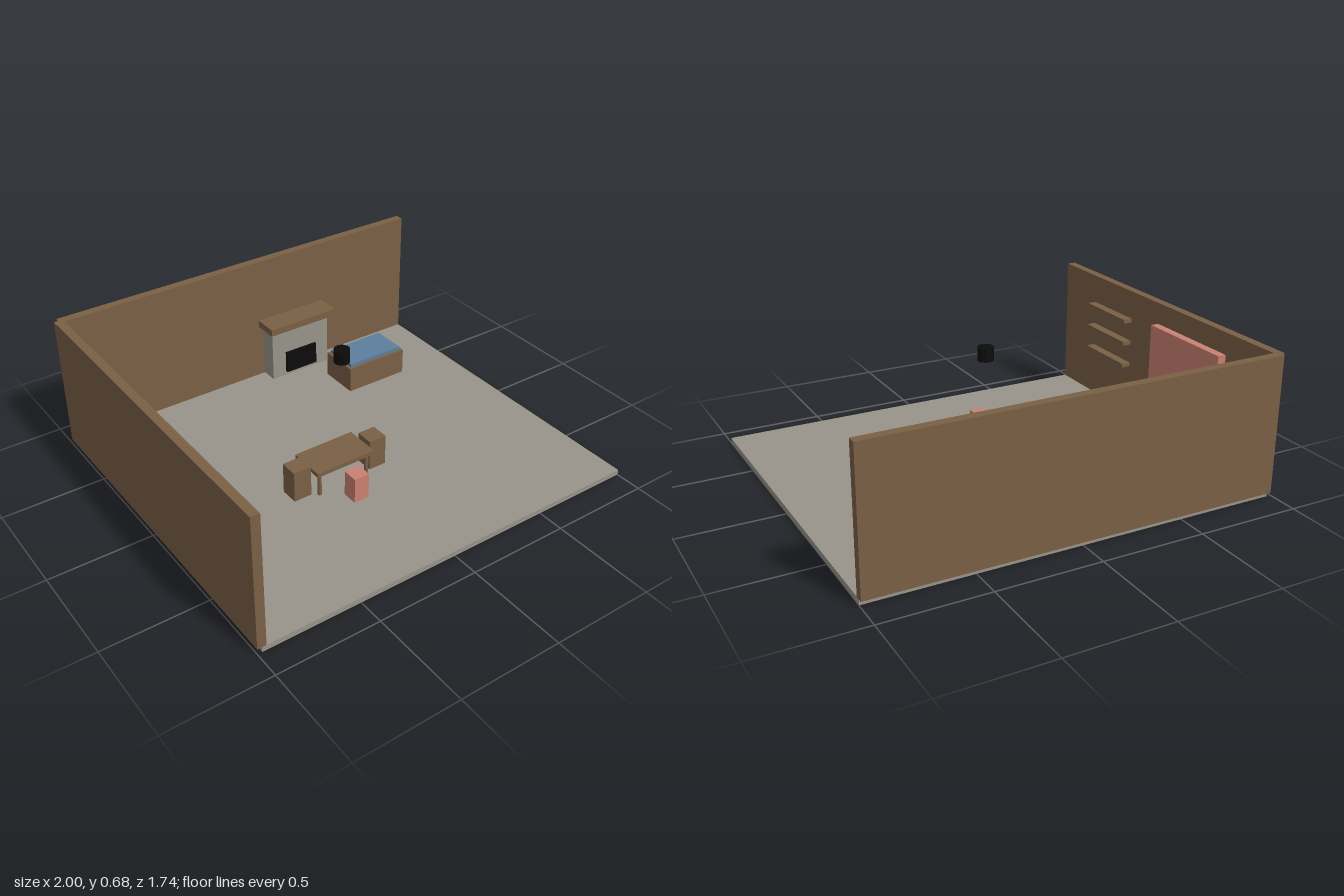
import * as THREE from 'three';

const paint = (color) => new THREE.MeshStandardMaterial({ color });

export function createModel() {
  const room = new THREE.Group();
  room.name = 'room';

  const wood = paint(0x7a6045);
  const stone = paint(0x98948b);
  const pink = paint(0xc98172);
  const blue = paint(0x5d7e9b);
  const black = paint(0x0c0c0c);

  const group = (name) => {
    const g = new THREE.Group();
    g.name = name;
    room.add(g);
    return g;
  };

  // Box given by its extents along each axis
  const box = (parent, name, material, [x0, x1], [y0, y1], [z0, z1]) => {
    const mesh = new THREE.Mesh(new THREE.BoxGeometry(x1 - x0, y1 - y0, z1 - z0), material);
    mesh.position.set((x0 + x1) / 2, (y0 + y1) / 2, (z0 + z1) / 2);
    mesh.name = name;
    parent.add(mesh);
  };

  // Upright cylinder between two heights
  const post = (parent, name, material, r, x, [y0, y1], z, sides) => {
    const mesh = new THREE.Mesh(new THREE.CylinderGeometry(r, r, y1 - y0, sides), material);
    mesh.position.set(x, (y0 + y1) / 2, z);
    mesh.name = name;
    parent.add(mesh);
  };

  const ground = 0.027; // top of the floor slab

  // Room shell: the walls overhang the slab by half their thickness
  box(room, 'floor', stone, [-0.978, 1], [0, ground], [-0.848, 0.87]);
  box(room, 'backWall', wood, [-0.978, 1], [ground, 0.684], [-0.87, -0.827]);
  box(room, 'sideWall', wood, [-1, -0.957], [ground, 0.684], [-0.848, 0.87]);

  // Fireplace
  const fireplace = group('fireplace');
  box(fireplace, 'chimneyBreast', stone, [0.102, 0.445], [ground, 0.314], [-0.827, -0.741]);
  box(fireplace, 'firebox', black, [0.181, 0.366], [0.048, 0.166], [-0.77, -0.728]);
  box(fireplace, 'mantel', wood, [0.076, 0.47], [0.314, 0.351], [-0.827, -0.702]);

  // Padded chest seat
  const bench = group('bench');
  box(bench, 'benchBase', wood, [0.365, 0.706], [ground, 0.16], [-0.62, -0.411]);
  box(bench, 'benchCushion', blue, [0.379, 0.693], [0.16, 0.178], [-0.606, -0.425]);

  // Table on four legs
  const table = group('table');
  box(table, 'tableTop', wood, [-0.28, 0.035], [0.146, 0.167], [0.051, 0.234]);
  for (const x of [-0.254, 0.009])
    for (const z of [0.075, 0.209])
      post(table, 'tableLeg', wood, 0.01, x, [ground, 0.146], z, 16);

  // Seats around the table
  const seats = group('seats');
  for (const x of [-0.378, 0.044])
    box(seats, 'chair', wood, [x, x + 0.091], [ground, 0.184], [0.098, 0.19]);
  box(seats, 'stool', pink, [-0.161, -0.083], [ground, 0.158], [0.276, 0.354]);

  // Things mounted on the side wall
  box(room, 'wallPanel', pink, [-0.957, -0.915], [0.268, 0.578], [-0.514, 0.012]);
  const shelves = group('shelves');
  for (const y of [0.281, 0.401, 0.52])
    box(shelves, 'shelf', wood, [-0.957, -0.911], [y, y + 0.02], [0.24, 0.581]);

  // Lamp hanging over the middle of the floor
  post(room, 'lamp', black, 0.038, 0.009, [0.548, 0.614], 0.012, 32);

  return room;
}
